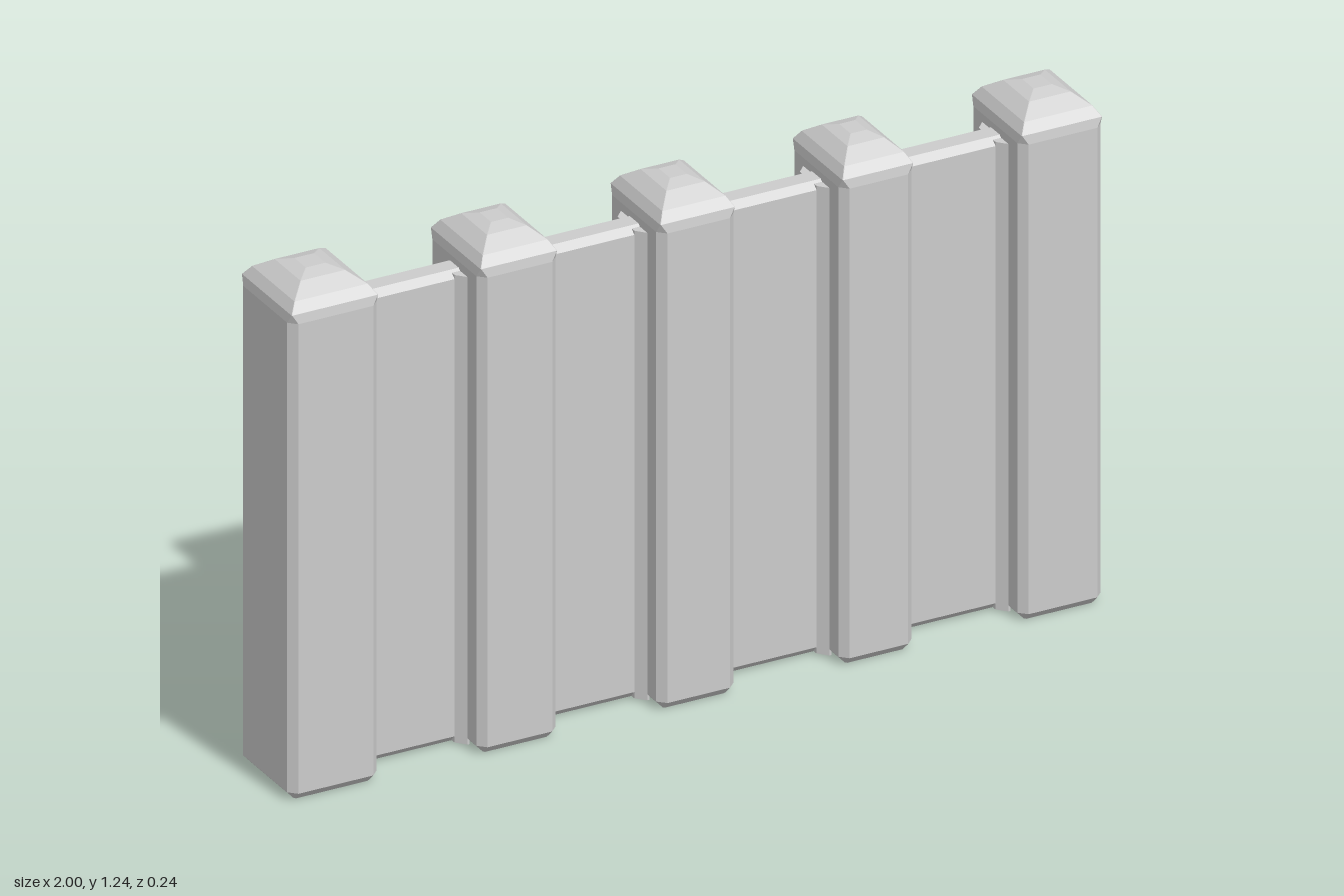
import * as THREE from 'three';

const material = new THREE.MeshStandardMaterial({ color: 0xcccccc, flatShading: true });

// Rectangle with cut corners, counter-clockwise seen from above
function ring(y, hx, hz, cut) {
  return [
    [hx, hz - cut], [hx, cut - hz], [hx - cut, -hz], [cut - hx, -hz],
    [-hx, cut - hz], [-hx, hz - cut], [cut - hx, hz], [hx - cut, hz],
  ].map(([x, z]) => [x, y, z]);
}

// Skin between stacked rings, closed at both ends
function loft(rings) {
  const positions = [], index = [], n = rings[0].length;
  rings.forEach(r => r.forEach(p => positions.push(...p)));
  for (let i = 0; i < rings.length - 1; i++) {
    for (let j = 0; j < n; j++) {
      const a = i * n + j, b = i * n + (j + 1) % n;
      index.push(a, b, b + n, a, b + n, a + n);
    }
  }
  const top = (rings.length - 1) * n;
  for (let j = 1; j < n - 1; j++) {
    index.push(0, j + 1, j);
    index.push(top, top + j, top + j + 1);
  }
  const geometry = new THREE.BufferGeometry();
  geometry.setAttribute('position', new THREE.Float32BufferAttribute(positions, 3));
  geometry.setIndex(index);
  const flat = geometry.toNonIndexed();
  flat.computeVertexNormals();
  return flat;
}

// Bevelled post with a faceted, domed cap
function postGeometry(hx) {
  const hz = 0.118;
  return loft([
    ring(0, hx - 0.018, hz - 0.018, 0.004),
    ring(0.02, hx, hz, 0.018),
    ring(1.16, hx, hz, 0.018),
    ring(1.182, hx * 0.965, hz * 0.965, 0.001),
    ring(1.205, hx * 0.82, hz * 0.82, 0.001),
    ring(1.23, hx * 0.5, hz * 0.5, 0.001),
    ring(1.24, hx * 0.22, hz * 0.22, 0.001),
  ]);
}

// Thin panel with bevelled top and bottom edges
function panelGeometry(length) {
  const hx = length / 2;
  return loft([
    ring(0.002, hx, 0.02, 0.001),
    ring(0.02, hx, 0.038, 0.001),
    ring(1.13, hx, 0.038, 0.001),
    ring(1.145, hx, 0.02, 0.001),
  ]);
}

// Sloped strip filling the corner between a post and one face of a panel
function stripGeometry(direction, side, height) {
  const shape = new THREE.Shape([
    [-0.005, 0], [0.02, 0], [0.02, 0.038], [0, 0.06], [-0.005, 0.06],
  ].map(([x, z]) => new THREE.Vector2(x * direction, -z * side)));
  return new THREE.ExtrudeGeometry(shape, { depth: height, bevelEnabled: false })
    .rotateX(-Math.PI / 2);
}

export function createModel() {
  const model = new THREE.Group();
  model.name = 'fence';
  const add = (name, geometry, x, y = 0) => {
    const mesh = new THREE.Mesh(geometry, material);
    mesh.name = name;
    mesh.position.set(x, y, 0);
    model.add(mesh);
  };

  // Left and right edge of each post
  const posts = [[-1, -0.78], [-0.535, -0.34], [-0.093, 0.097], [0.355, 0.535], [0.795, 1]];
  posts.forEach(([x0, x1]) => add('post', postGeometry((x1 - x0) / 2), (x0 + x1) / 2));

  for (let i = 0; i < posts.length - 1; i++) {
    const x0 = posts[i][1], x1 = posts[i + 1][0];
    add('panel', panelGeometry(x1 - x0 + 0.04), (x0 + x1) / 2);
    for (const side of [1, -1]) {
      // Two of the strips are broken off short
      const startHeight = i === 3 ? 0.18 : 1.135;
      const endHeight = i === 0 && side === -1 ? 0.98 : 1.135;
      add('cornerStrip', stripGeometry(1, side, startHeight), x0, 0.005);
      add('cornerStrip', stripGeometry(-1, side, endHeight), x1, 0.005);
    }
  }
  return model;
}
